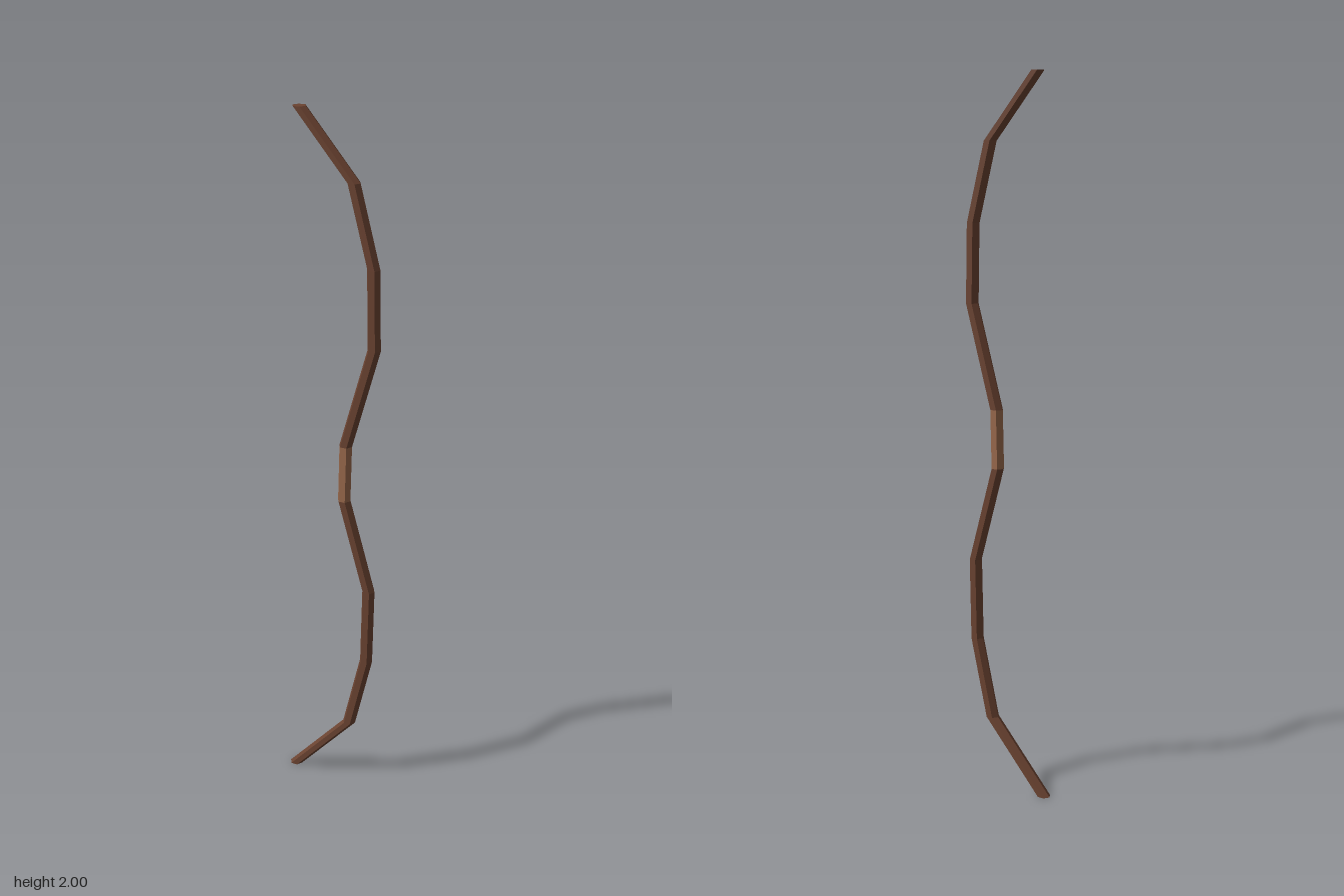
import * as THREE from 'three';

const RADIUS = 0.019;

// Hexagonal rod whose level rings follow a list of [x, y] points, top to bottom
function rod(name, path, material) {
  const n = path.length - 1;
  const indexed = new THREE.CylinderGeometry(RADIUS, RADIUS, n, 6, n);
  indexed.rotateY(Math.PI / 2); // corners point along x
  const pos = indexed.attributes.position;
  for (let i = 0; i < pos.count; i++) {
    const [x, y] = path[Math.round(n / 2 - pos.getY(i))];
    pos.setX(i, pos.getX(i) + x);
    pos.setY(i, y);
  }
  // Separate faces give hard facets
  const geometry = indexed.toNonIndexed();
  geometry.computeVertexNormals();
  const mesh = new THREE.Mesh(geometry, material);
  mesh.name = name;
  return mesh;
}

export function createModel() {
  const wood = new THREE.MeshStandardMaterial({ color: 0x6b4331 });
  wood.name = 'dark wood';
  const leather = new THREE.MeshStandardMaterial({ color: 0x9a694c });
  leather.name = 'grip leather';

  const gripTop = [0.04, 1.09];
  const gripBottom = [0.036, 0.925];

  const bow = new THREE.Group();
  bow.name = 'bow';
  bow.add(
    // Curved limbs ending in swept-back tips
    rod('upperLimb', [[-0.094, 2], [0.06, 1.82], [0.118, 1.6], [0.122, 1.38], gripTop], wood),
    rod('lowerLimb', [gripBottom, [0.113, 0.655], [0.108, 0.425], [0.055, 0.2], [-0.123, 0]], wood),
    // Handle in the middle
    rod('grip', [gripTop, gripBottom], leather),
  );
  return bow;
}
